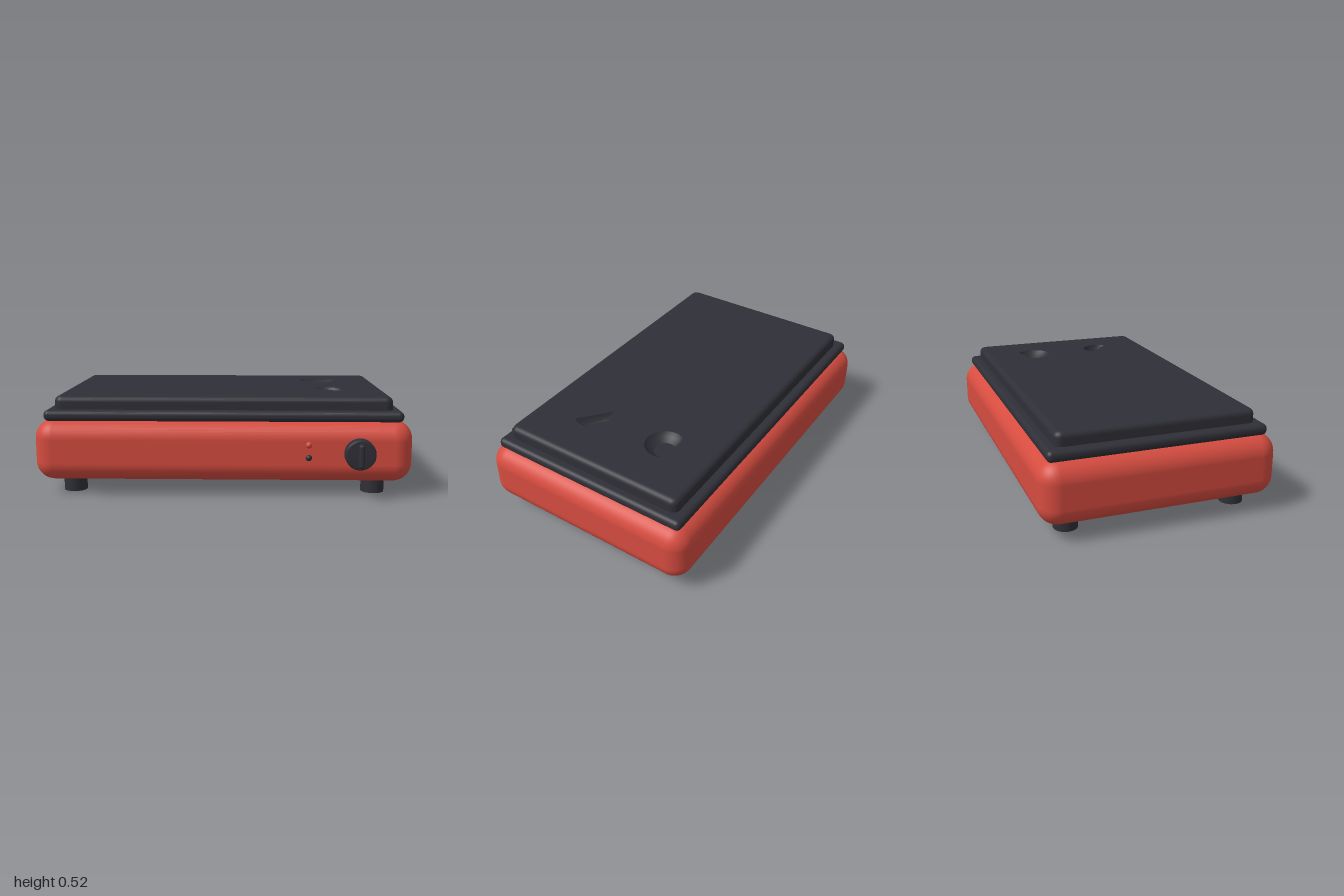
import * as THREE from 'three';
import { RoundedBoxGeometry } from 'three/addons/geometries/RoundedBoxGeometry.js';

const CZ = -0.0475; // depth centre of the casing

// Rounded rectangle in plan (shape y is -z)
function roundedRect(hw, hd, r) {
  const s = new THREE.Shape(), y = -CZ;
  s.absarc(hw - r, y + hd - r, r, 0, Math.PI / 2);
  s.absarc(-hw + r, y + hd - r, r, Math.PI / 2, Math.PI);
  s.absarc(-hw + r, y - hd + r, r, Math.PI, Math.PI * 1.5);
  s.absarc(hw - r, y - hd + r, r, Math.PI * 1.5, Math.PI * 2);
  return s.getPoints(6).slice(0, -1);
}

// Wall joining rings of equal point count, each { pts, y }
function loft(rings) {
  const n = rings[0].pts.length, pos = [], idx = [];
  for (const { pts, y } of rings) for (const p of pts) pos.push(p.x, y, -p.y);
  for (let k = 0; k < rings.length - 1; k++) {
    for (let i = 0; i < n; i++) {
      const j = (i + 1) % n, a = k * n + i, b = k * n + j;
      idx.push(a, b, b + n, a, b + n, a + n);
    }
  }
  const g = new THREE.BufferGeometry();
  g.setAttribute('position', new THREE.Float32BufferAttribute(pos, 3));
  g.setIndex(idx);
  g.computeVertexNormals();
  return g;
}

// Flat horizontal face
function face(pts, y, holes = []) {
  const s = new THREE.Shape(pts);
  s.holes = holes.map(h => new THREE.Path(h));
  return new THREE.ShapeGeometry(s).rotateX(-Math.PI / 2).translate(0, y, 0);
}

// Circular segment outline, angles in degrees
function segment(cx, cy, r, from, to) {
  return Array.from({ length: 25 }, (_, i) => {
    const a = THREE.MathUtils.degToRad(from + (to - from) * i / 24);
    return new THREE.Vector2(cx + r * Math.cos(a), cy + r * Math.sin(a));
  });
}

export function createModel() {
  const red = new THREE.MeshStandardMaterial({ color: 0xd64c40 });
  red.name = 'red enamel';
  const dark = new THREE.MeshStandardMaterial({ color: 0x2f2f37 });
  dark.name = 'charcoal';
  const model = new THREE.Group();
  model.name = 'griddle';

  function add(name, geometry, material, x = 0, y = 0, z = 0, parent = model) {
    const m = new THREE.Mesh(geometry, material);
    m.name = name;
    m.position.set(x, y, z);
    parent.add(m);
    return m;
  }

  // Casing and plate rim
  add('casing', new RoundedBoxGeometry(2, 0.325, 1.235, 8, 0.1), red, 0, 0.2375, CZ);
  add('rim', new RoundedBoxGeometry(1.9, 0.058, 1.14, 5, 0.026), dark, 0, 0.421, -0.05);

  // Hot plate with a softly rounded top edge and two shallow recesses
  const plate = new THREE.Group();
  plate.name = 'hotPlate';
  model.add(plate);
  const top = 0.52, edge = 0.03;
  const rings = [{ pts: roundedRect(0.9, 0.5225, 0.04), y: 0.44 }];
  for (let i = 0; i <= 6; i++) {
    const a = i / 6 * Math.PI / 2, inset = edge * (1 - Math.cos(a));
    rings.push({
      pts: roundedRect(0.9 - inset, 0.5225 - inset, 0.04 - inset),
      y: top - edge + edge * Math.sin(a),
    });
  }
  const recesses = [
    { name: 'rearRecess', pts: segment(0.57, 0.285, 0.105, 148, 403), cx: 0.57, cy: 0.29 },
    { name: 'frontRecess', pts: segment(0.58, -0.165, 0.1, 320, 500), cx: 0.608, cy: -0.137 },
  ];
  add('plateEdge', loft(rings), dark, 0, 0, 0, plate);
  add('plateTop', face(rings[rings.length - 1].pts, top, recesses.map(r => r.pts)), dark, 0, 0, 0, plate);
  for (const { name, pts, cx, cy } of recesses) {
    const scaled = k => pts.map(p => new THREE.Vector2(cx + (p.x - cx) * k, cy + (p.y - cy) * k));
    const floor = scaled(0.55);
    add(name + 'Wall', loft([
      { pts, y: top }, { pts: scaled(0.85), y: 0.498 }, { pts: floor, y: 0.48 },
    ]), dark, 0, 0, 0, plate);
    add(name + 'Floor', face(floor, 0.48), dark, 0, 0, 0, plate);
  }

  // Feet
  for (const x of [-0.81, 0.81]) {
    for (const z of [0.405, -0.5]) {
      add('foot', new THREE.CylinderGeometry(0.062, 0.062, 0.1, 32), dark, x, 0.05, z);
    }
  }

  // Control knob: bevelled disc with a raised grip
  const knob = new THREE.Group();
  knob.name = 'knob';
  knob.position.set(0.712, 0.242, 0.565);
  model.add(knob);
  const profile = [[0, 0], [0.07, 0], [0.077, 0.004], [0.08, 0.012], [0.08, 0.055], [0.077, 0.064], [0.07, 0.069], [0, 0.069]];
  const disc = new THREE.LatheGeometry(profile.map(p => new THREE.Vector2(...p)), 40).rotateX(Math.PI / 2);
  add('knobDisc', disc, dark, 0, 0, 0, knob);
  add('knobGrip', new RoundedBoxGeometry(0.028, 0.122, 0.06, 4, 0.011), dark, 0, 0, 0.075, knob);

  // Indicator lights
  for (const [name, y, mat] of [['powerLight', 0.283, red], ['heatLight', 0.215, dark]]) {
    add(name, new THREE.SphereGeometry(0.017, 20, 14), mat, 0.45, y, 0.567);
  }
  return model;
}
